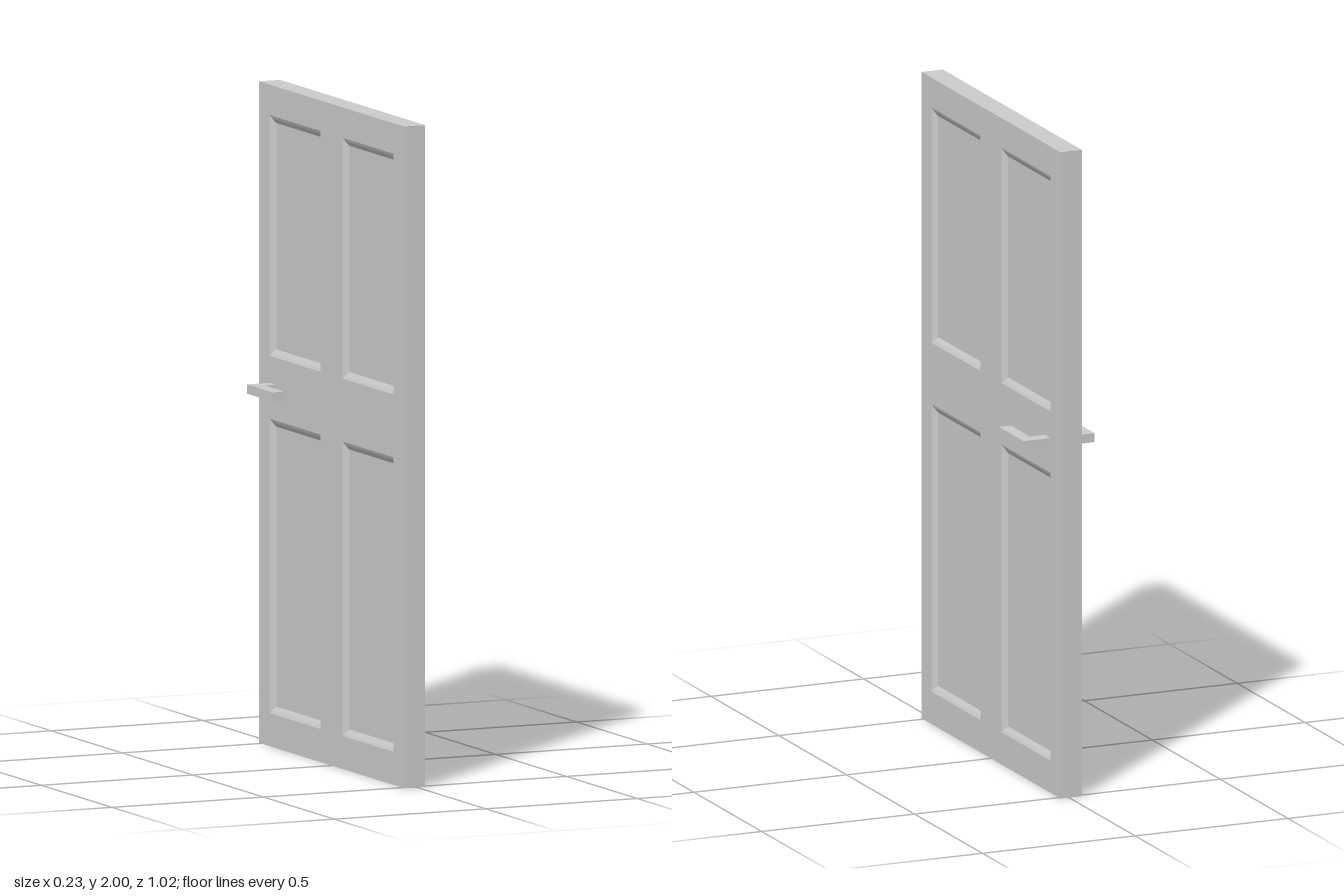
import * as THREE from 'three';

const HALF_W = 0.512, HEIGHT = 2, THICK = 0.07, CENTER_X = -0.007;
const material = new THREE.MeshStandardMaterial({ color: 0xcccccc, flatShading: true });

function rectPoints(x0, x1, y0, y1) {
  return [[x0, y0], [x1, y0], [x1, y1], [x0, y1]].map(([x, y]) => new THREE.Vector2(x, y));
}

function addMesh(parent, name, geometry) {
  const mesh = new THREE.Mesh(geometry, material);
  mesh.name = name;
  parent.add(mesh);
  return mesh;
}

// Recessed panel facing +z: moulding lofted through inset rectangles, closed by a flat field
function recessedPanel([x0, x1, y0, y1]) {
  const profile = [[0, 0], [0.009, -0.004], [0.022, -0.012]]; // [inset, depth]
  const rings = profile.map(([d, z]) =>
    rectPoints(x0 + d, x1 - d, y0 + d, y1 - d).map(p => new THREE.Vector3(p.x, p.y, z)));
  const points = [];
  const quad = (a, b, c, d) => points.push(a, b, c, a, c, d);
  for (let r = 0; r < rings.length - 1; r++) {
    for (let i = 0; i < 4; i++) {
      const j = (i + 1) % 4;
      quad(rings[r][i], rings[r][j], rings[r + 1][j], rings[r + 1][i]);
    }
  }
  quad(...rings[rings.length - 1]);
  const geometry = new THREE.BufferGeometry().setFromPoints(points);
  geometry.computeVertexNormals();
  return geometry;
}

// L-shaped lever handle, side = +1 or -1
function leverHandle(side) {
  const outline = [[0.02, 0.44], [0.116, 0.44], [0.116, 0.258], [0.077, 0.258], [0.077, 0.398], [0.02, 0.398]];
  const shape = new THREE.Shape(outline.map(([x, s]) => new THREE.Vector2(x * side, s)));
  return new THREE.ExtrudeGeometry(shape, { depth: 0.028, bevelEnabled: false })
    .rotateX(-Math.PI / 2)
    .translate(0, 1.07, 0);
}

export function createModel() {
  const group = new THREE.Group();
  group.name = 'door';

  const openings = [];
  for (const [y0, y1] of [[0.1, 0.99], [1.18, 1.908]]) {
    openings.push([0.078, 0.438, y0, y1], [-0.438, -0.078, y0, y1]);
  }

  // Door slab with an opening for every panel
  const slab = new THREE.Shape(rectPoints(-HALF_W, HALF_W, 0, HEIGHT));
  slab.holes = openings.map(o => new THREE.Path(rectPoints(...o).reverse()));
  const slabGeometry = new THREE.ExtrudeGeometry(slab, { depth: THICK, bevelEnabled: false })
    .translate(0, 0, -THICK / 2)
    .rotateY(Math.PI / 2)
    .translate(CENTER_X, 0, 0);
  addMesh(group, 'slab', slabGeometry);

  // Panels and lever on both faces
  for (const side of [1, -1]) {
    const label = side > 0 ? 'left' : 'right';
    for (const opening of openings) {
      const panel = recessedPanel(opening)
        .translate(0, 0, THICK / 2)
        .rotateY(side * Math.PI / 2)
        .translate(CENTER_X, 0, 0);
      addMesh(group, label + 'Panel', panel);
    }
    addMesh(group, label + 'Handle', leverHandle(side));
  }
  return group;
}
